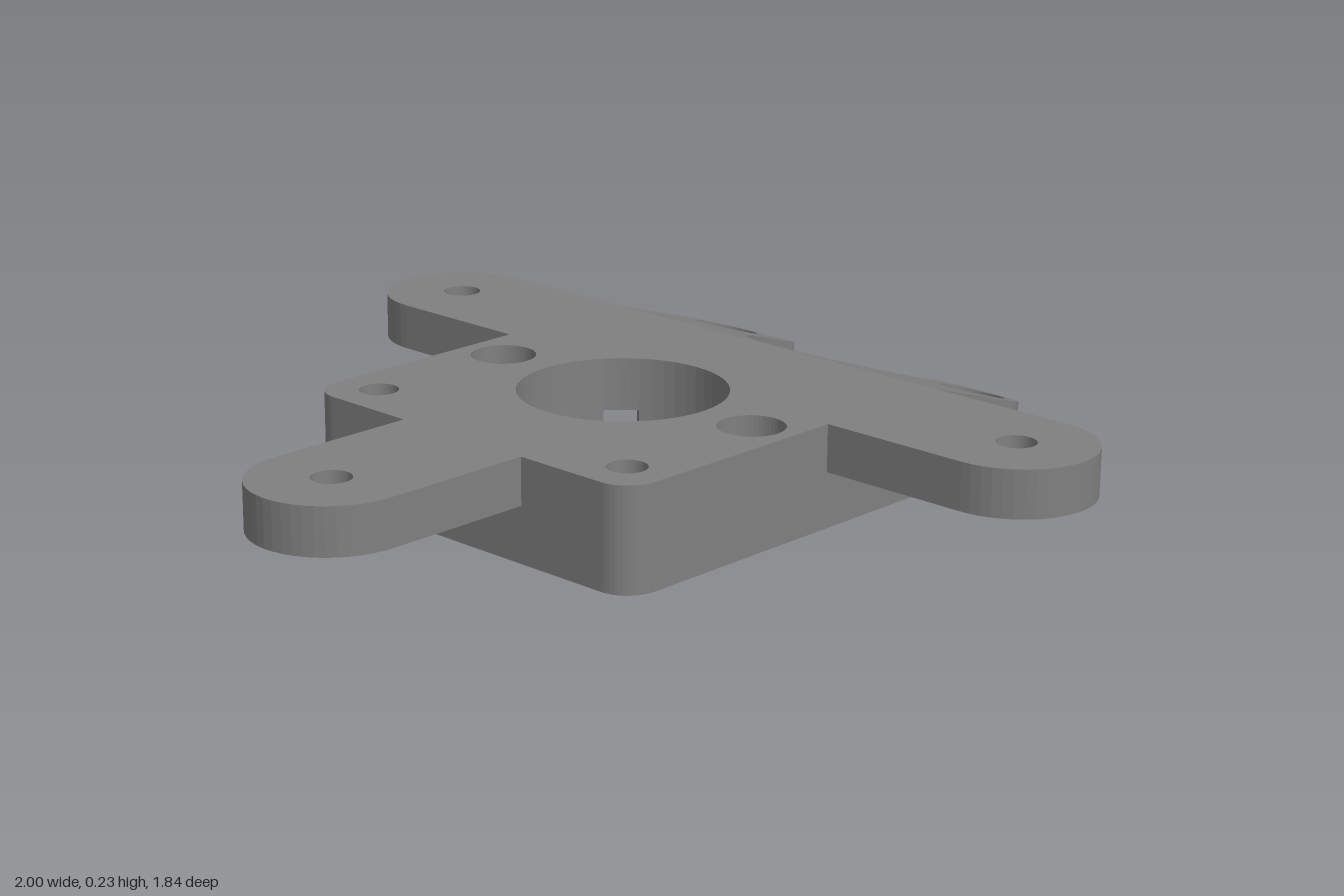
import * as THREE from 'three';

const TOP = 0.23, ARM = 0.125, SLOT = 0.11, LEDGE = 0.1;  // heights
const SIDE = 0.475, FRONT = 0.395, SHOULDER = -0.55;      // body limits
const BORE_Z = -0.08, BORE_R = 0.23, SCREW = 0.043, HEAD = 0.073;

// Top surface height: flat, then a ramp falling toward the back
const topAt = (z) => (z < SHOULDER ? TOP - ((SHOULDER - z) / 0.37) * 0.12 : TOP);

// Points [x, z] along an arc, angles in degrees
function arc(cx, cz, r, a0, a1, n = Math.max(2, Math.ceil(Math.abs(a1 - a0) / 7.5))) {
  return Array.from({ length: n + 1 }, (_, i) => {
    const a = THREE.MathUtils.degToRad(a0 + ((a1 - a0) * i) / n);
    return [cx + r * Math.cos(a), cz + r * Math.sin(a)];
  });
}
const circle = (x, z, r) => arc(x, z, r, 0, 360);
const mirror = (pts) => pts.map(([x, z]) => [-x, z]).reverse();
const height = (y, z) => (typeof y === 'function' ? y(z) : y);

export function createModel() {
  const model = new THREE.Group();
  const grey = new THREE.MeshStandardMaterial({ color: 0x808080 });
  grey.name = 'grey plastic';

  function add(name, geometry) {
    const mesh = new THREE.Mesh(geometry, grey);
    mesh.name = name;
    model.add(mesh);
  }

  // Upright wall along a path, solid on the path's left; heights may vary with z
  function wall(name, pts, y0, y1) {
    const pos = [];
    for (let i = 0; i + 1 < pts.length; i++) {
      const [ax, az] = pts[i], [bx, bz] = pts[i + 1];
      if (Math.hypot(bx - ax, bz - az) < 1e-5) continue;
      const a = [ax, height(y0, az), az], b = [bx, height(y0, bz), bz];
      const c = [bx, height(y1, bz), bz], d = [ax, height(y1, az), az];
      pos.push(...a, ...c, ...b, ...a, ...d, ...c);
    }
    const g = new THREE.BufferGeometry();
    g.setAttribute('position', new THREE.Float32BufferAttribute(pos, 3));
    g.computeVertexNormals();
    add(name, g);
  }
  const holeWall = (name, pts, y0, y1) => wall(name, [...pts].reverse(), y0, y1);

  // Face filling an outline, looking up or down
  function face(name, pts, holes, y, up) {
    const vec = (list) => list.map(([x, z]) => new THREE.Vector2(x, z));
    const shape = new THREE.Shape(vec(pts));
    shape.holes = holes.map((h) => new THREE.Path(vec(h)));
    const g = new THREE.ShapeGeometry(shape);
    const p = g.attributes.position;
    for (let i = 0; i < p.count; i++) {
      const z = p.getY(i);
      p.setXYZ(i, p.getX(i), height(y, z), z);
    }
    if (up) g.index.array.reverse();
    g.computeVertexNormals();
    add(name, g);
  }

  // Outlines
  const rearRight = [
    ...arc(0, -0.82, BORE_R, 90, 0), ...arc(0.255, -0.895, 0.025, 180, 270, 4),
    ...arc(0.375, -0.82, 0.1, 270, 360), [SIDE, SHOULDER],
  ];
  const rear = [...mirror(rearRight), ...rearRight];
  const corner = [[SIDE, -0.2], ...arc(0.4, 0.32, 0.075, 0, 90), [0.175, FRONT]];
  const sideArm = [[SIDE, SHOULDER], ...arc(0.825, -0.375, 0.175, -90, 90), [SIDE, -0.2]];
  const frontArm = [[0.175, FRONT], ...arc(0, 0.745, 0.175, 0, 180), [-0.175, FRONT]];
  const sideJoin = [[SIDE, SHOULDER], [SIDE, -0.2]];

  // Centre bore with four diagonal slots ending in hexagonal nut pockets
  const bore = [], slottedBore = [], pockets = [];
  const halfSlot = 0.04, nutR = 0.08, reach = 0.37 * Math.SQRT2;
  const spread = THREE.MathUtils.radToDeg(Math.asin(halfSlot / BORE_R));
  for (let k = 0; k < 4; k++) {
    const deg = 45 + 90 * k, t = THREE.MathUtils.degToRad(deg);
    const place = ([u, v]) => [
      u * Math.cos(t) - v * Math.sin(t), BORE_Z + u * Math.sin(t) + v * Math.cos(t)];
    const mouth = arc(0, BORE_Z, BORE_R, deg - spread, deg + spread, 4);
    const between = arc(0, BORE_Z, BORE_R, deg + spread, deg + 90 - spread, 10);
    const neck = reach - nutR + halfSlot / Math.sqrt(3);
    const pocket = [
      mouth[0],
      ...[[neck, -halfSlot], ...arc(reach, 0, nutR, -120, 120, 4), [neck, halfSlot]].map(place),
      mouth[4],
    ];
    bore.push(...mouth, ...between);
    slottedBore.push(...pocket, ...between);
    pockets.push([...pocket, ...mouth.slice(1, 4).reverse()]);
  }

  // Screw hole positions
  const pairs = (z) => [[0.37, z], [-0.37, z]];
  const rearScrews = pairs(-0.82), midScrews = pairs(BORE_Z), nutScrews = pairs(0.29);
  const armScrews = [[0.825, -0.38], [-0.825, -0.38]], frontScrew = [[0, 0.745]];
  const rings = (list, r) => list.map(([x, z]) => circle(x, z, r));

  // Large faces
  face('topFace', [...sideArm, ...corner, ...frontArm, ...mirror(corner), ...mirror(sideArm)],
    [bore, ...rings(midScrews, HEAD),
      ...rings([...nutScrews, ...armScrews, ...frontScrew], SCREW)], TOP, true);
  face('rearRamp', rear, rings(rearScrews, HEAD), topAt, true);
  face('underside', [...rear, ...corner, ...mirror(corner)],
    [slottedBore, ...rings([...rearScrews, ...midScrews], SCREW)], 0, false);

  // Body walls
  wall('rearWall', rear, 0, topAt);
  wall('frontWallUnderArm', [[0.175, FRONT], [-0.175, FRONT]], 0, ARM);
  for (const [side, flip] of [['left', (p) => p], ['right', mirror]]) {
    wall(side + 'FrontCorner', flip(corner), 0, TOP);
    wall(side + 'WallUnderArm', flip(sideJoin), 0, ARM);
    wall(side + 'ArmEdge', flip(sideArm), ARM, TOP);
  }
  wall('frontArmEdge', frontArm, ARM, TOP);

  // Arm undersides
  face('leftArmUnderside', sideArm, rings([armScrews[0]], SCREW), ARM, false);
  face('rightArmUnderside', mirror(sideArm), rings([armScrews[1]], SCREW), ARM, false);
  face('frontArmUnderside', frontArm, rings(frontScrew, SCREW), ARM, false);
  for (const p of [...armScrews, ...frontScrew]) {
    holeWall('armScrewHole', circle(...p, SCREW), ARM, TOP);
  }

  // Bore, slots and nut pockets
  holeWall('upperBore', [...bore, bore[0]], SLOT, TOP);
  holeWall('slottedBore', [...slottedBore, slottedBore[0]], 0, SLOT);
  pockets.forEach((pts, k) => {
    face('nutPocketCeiling', pts, k < 2 ? rings([nutScrews[k]], SCREW) : [], SLOT, false);
  });
  for (const p of nutScrews) holeWall('nutScrewHole', circle(...p, SCREW), SLOT, TOP);

  // Counterbored screw holes
  for (const p of [...rearScrews, ...midScrews]) {
    holeWall('screwHole', circle(...p, SCREW), 0, LEDGE);
    face('counterboreLedge', circle(...p, HEAD), [circle(...p, SCREW)], LEDGE, true);
    holeWall('counterbore', circle(...p, HEAD), LEDGE, topAt);
  }
  return model;
}
